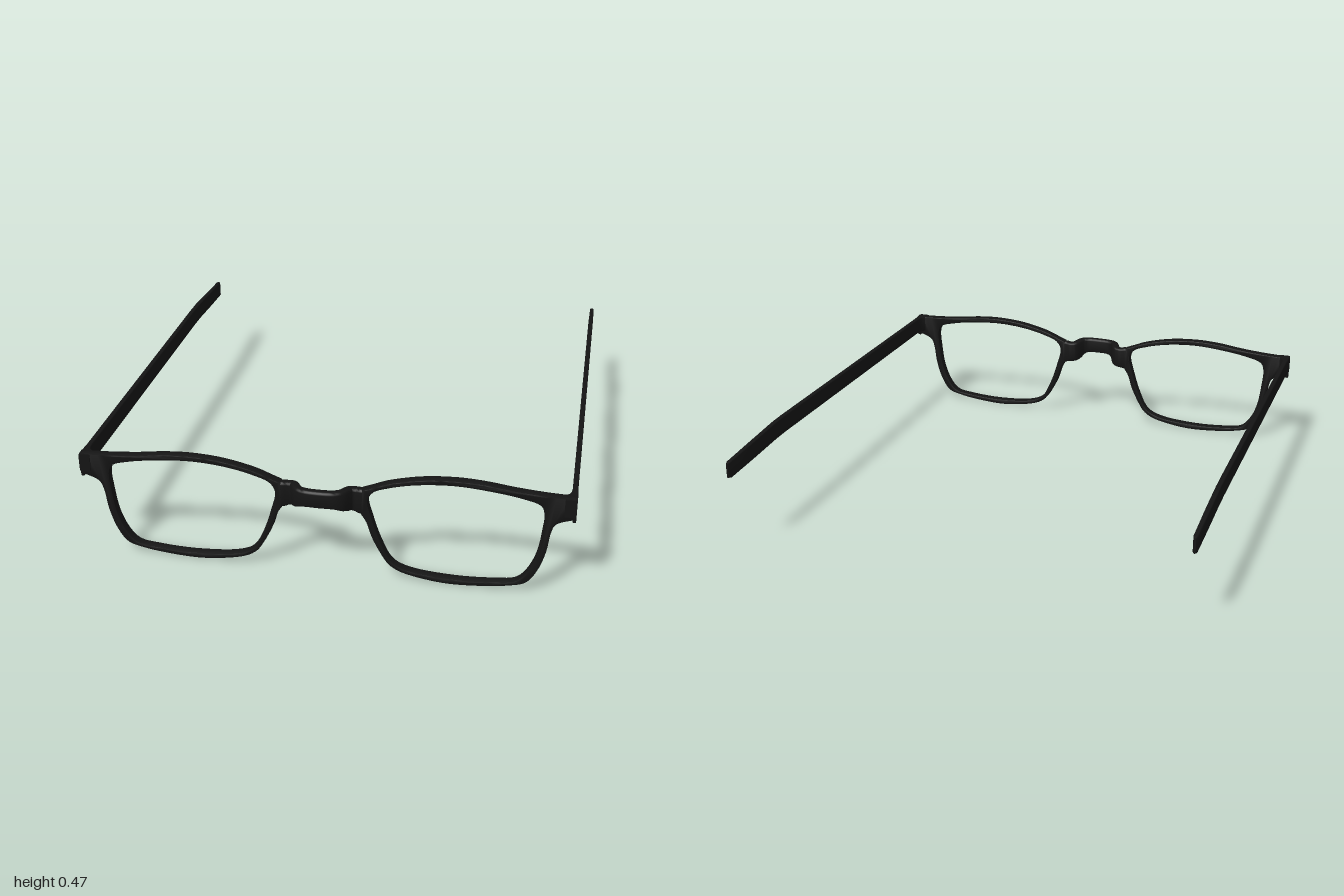
import * as THREE from 'three';
import { toCreasedNormals } from 'three/addons/utils/BufferGeometryUtils.js';

const black = new THREE.MeshStandardMaterial({ color: 0x141414 });

function mesh(name, geometry) {
  const m = new THREE.Mesh(toCreasedNormals(geometry, 0.7), black);
  m.name = name;
  return m;
}

const vectors = (pts) => pts.map(([x, y]) => new THREE.Vector2(x, y));

// Skins rings of equal length and closes both ends.
function loft(rings) {
  const n = rings[0].length, last = (rings.length - 1) * n, index = [];
  for (let i = 0; i < rings.length - 1; i++) {
    for (let j = 0; j < n; j++) {
      const a = i * n + j, b = i * n + (j + 1) % n;
      index.push(a, b, b + n, a, b + n, a + n);
    }
  }
  for (let j = 1; j < n - 1; j++) {
    index.push(0, j + 1, j, last, last + j, last + j + 1);
  }
  const g = new THREE.BufferGeometry();
  g.setAttribute('position', new THREE.Float32BufferAttribute(rings.flat(2), 3));
  g.setIndex(index);
  return g;
}

// Rounded rectangle outline, counter-clockwise in (u, v).
function roundedRect(w, h, r) {
  const pts = [];
  [[1, 1], [-1, 1], [-1, -1], [1, -1]].forEach(([sx, sy], q) => {
    for (let k = 0; k <= 3; k++) {
      const a = (q + k / 3) * Math.PI / 2;
      pts.push([sx * (w / 2 - r) + r * Math.cos(a), sy * (h / 2 - r) + r * Math.sin(a)]);
    }
  });
  return pts;
}

// Rim with its hinge end piece, one lens opening.
function rimGeometry() {
  const shape = new THREE.Shape();
  shape.moveTo(0.975, 0.435);
  shape.splineThru(vectors([[0.86, 0.439], [0.74, 0.449], [0.63, 0.463], [0.517, 0.468],
    [0.39, 0.458], [0.27, 0.431], [0.2, 0.404], [0.16, 0.388]]));
  shape.lineTo(0.157, 0.28);
  shape.splineThru(vectors([[0.178, 0.245], [0.2, 0.178], [0.24, 0.1], [0.272, 0.058],
    [0.325, 0.03], [0.42, 0.01], [0.517, 0.002], [0.64, 0.009], [0.74, 0.024], [0.805, 0.047],
    [0.846, 0.11], [0.872, 0.193], [0.885, 0.28], [0.905, 0.322], [0.962, 0.345]]));
  shape.lineTo(0.962, 0.335);
  shape.lineTo(0.975, 0.335);

  const opening = [[0.517, 0.445], [0.376, 0.434], [0.27, 0.41], [0.204, 0.383],
    [0.183, 0.345], [0.2, 0.265], [0.235, 0.16], [0.28, 0.076], [0.34, 0.045], [0.517, 0.026],
    [0.68, 0.033], [0.76, 0.047], [0.8, 0.088], [0.835, 0.17], [0.852, 0.28], [0.856, 0.36],
    [0.842, 0.394], [0.768, 0.418], [0.648, 0.436]];
  const curve = new THREE.CatmullRomCurve3(
    opening.map(([x, y]) => new THREE.Vector3(x, y, 0)), true);
  shape.holes.push(new THREE.Path(
    curve.getPoints(90).slice(0, -1).map((p) => new THREE.Vector2(p.x, p.y))));

  const bevel = 0.005;
  const g = new THREE.ExtrudeGeometry(shape, {
    depth: 0.028, curveSegments: 5, bevelEnabled: true, bevelThickness: bevel,
    bevelSize: bevel, bevelOffset: -bevel, bevelSegments: 2,
  });
  return g.translate(0, 0, 0.905);
}

// Bridge: stands forward of the rims, deeper at its ends.
function bridgeGeometry() {
  // x, z, bottom, top
  const half = [[0.18, 0.918, 0.28, 0.388], [0.155, 0.918, 0.28, 0.388],
    [0.132, 0.913, 0.286, 0.386], [0.112, 0.917, 0.29, 0.388], [0.099, 0.937, 0.295, 0.392],
    [0.085, 0.962, 0.308, 0.395], [0.06, 0.976, 0.322, 0.396]];
  const stations = [...half.map(([x, ...rest]) => [-x, ...rest]), [0, 0.981, 0.325, 0.396],
    ...half.slice().reverse()];
  const path = new THREE.CatmullRomCurve3(stations.map(([x, z]) => new THREE.Vector3(x, 0, z)));
  const span = new THREE.CatmullRomCurve3(stations.map(([x, , b, t]) => new THREE.Vector3(x, b, t)));
  const rings = [];
  for (let i = 0; i <= 56; i++) {
    const p = path.getPoint(i / 56), d = path.getTangent(i / 56), s = span.getPoint(i / 56);
    const mid = (s.y + s.z) / 2;
    rings.push(roundedRect(s.z - s.y, 0.036, 0.011).map(([u, v]) =>
      [p.x - d.z * v, mid + u, p.z + d.x * v]));
  }
  return loft(rings);
}

// Temple arm: filleted at the hinge, bent down toward the tip.
function templeGeometry() {
  // z, inner x, outer x, bottom, top
  const stations = [[-1, 0.96, 0.968, 0.337, 0.401], [-0.985, 0.954, 0.972, 0.334, 0.405],
    [-0.8, 0.952, 0.973, 0.346, 0.419], [-0.62, 0.952, 0.973, 0.358, 0.433],
    [-0.54, 0.952, 0.973, 0.36, 0.435], [0.85, 0.952, 0.973, 0.36, 0.435],
    [0.875, 0.949, 0.974, 0.36, 0.435], [0.89, 0.943, 0.975, 0.36, 0.435],
    [0.902, 0.93, 0.975, 0.36, 0.435], [0.942, 0.93, 0.975, 0.36, 0.435]];
  return loft(stations.map(([z, x0, x1, y0, y1]) =>
    roundedRect(x1 - x0, y1 - y0, 0.004).map(([u, v]) =>
      [(x0 + x1) / 2 + u, (y0 + y1) / 2 + v, z])));
}

export function createModel() {
  const model = new THREE.Group();
  model.name = 'eyeglasses';
  model.add(mesh('bridge', bridgeGeometry()));
  for (const [side, sign] of [['left', 1], ['right', -1]]) {
    const group = new THREE.Group();
    group.name = side + 'Side';
    group.add(mesh(side + 'Rim', rimGeometry()), mesh(side + 'Temple', templeGeometry()));
    group.scale.x = sign;
    model.add(group);
  }
  return model;
}
